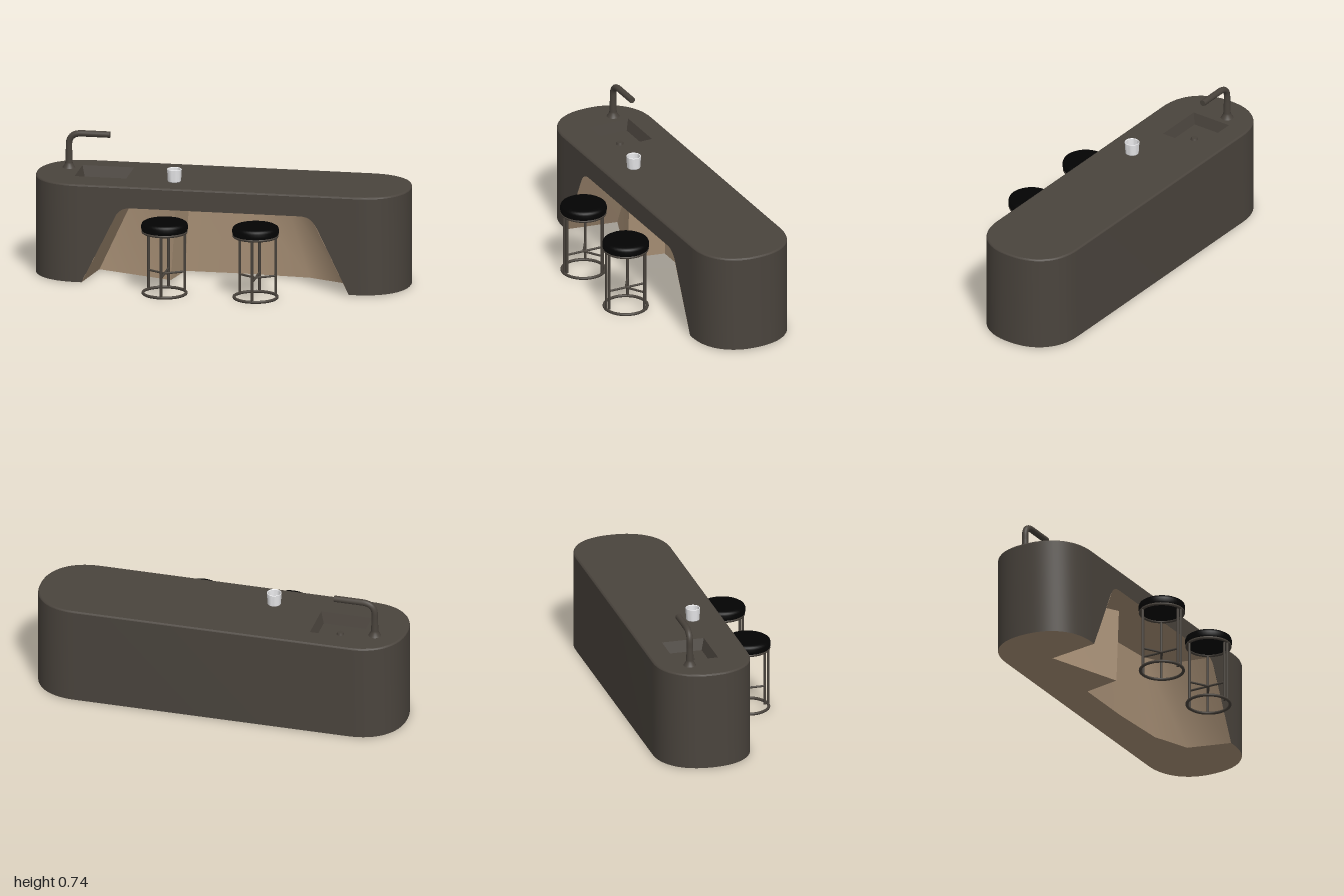
import * as THREE from 'three';
import { toCreasedNormals } from 'three/addons/utils/BufferGeometryUtils.js';

const material = (name, color, side = THREE.FrontSide) =>
  Object.assign(new THREE.MeshStandardMaterial({ color, side }), { name });

// Surface through rows of points, with sharp edges kept
function loft(rows, crease = 0.5) {
  const n = rows[0].length, index = [];
  for (let r = 0; r < rows.length - 1; r++) {
    for (let i = 0; i < n - 1; i++) {
      const a = r * n + i, b = a + n;
      index.push(a, a + 1, b, a + 1, b + 1, b);
    }
  }
  const g = new THREE.BufferGeometry();
  g.setAttribute('position', new THREE.Float32BufferAttribute(rows.flat(2), 3));
  g.setIndex(index);
  return toCreasedNormals(g, crease);
}

// Flat shape from [x, z] points, facing up or down
function slab(points, y, up, hole) {
  const toVec = ([x, z]) => new THREE.Vector2(x, up ? -z : z);
  const shape = new THREE.Shape(points.map(toVec));
  if (hole) shape.holes.push(new THREE.Path(hole.map(toVec)));
  return new THREE.ShapeGeometry(shape).rotateX(up ? -Math.PI / 2 : Math.PI / 2).translate(0, y, 0);
}

// Counter outline with slightly full ends, from right front, round the back, to left front
function stadium(inset) {
  const r = 0.26 - inset, pts = [];
  const full = (v) => Math.sign(v) * Math.abs(v) ** 0.89;
  for (const end of [1, -1]) {
    for (let i = 0; i <= 32; i++) {
      const a = end * Math.PI / 2 - Math.PI * i / 32;
      pts.push([end * 0.74 + r * full(Math.cos(a)), -0.13 + r * full(Math.sin(a))]);
    }
  }
  return pts;
}

const rect = (x0, x1, z0, z1) => [[x0, z0], [x1, z0], [x1, z1], [x0, z1]];
const atHeight = (pts, y) => pts.map(([x, z]) => [x, y, z]);
const closed = (pts) => [...pts, pts[0]];

export function createModel() {
  const model = new THREE.Group();
  const stone = material('dark stone', 0x4a443d, THREE.DoubleSide);
  const timber = material('tan lining', 0xa78f75, THREE.DoubleSide);
  const black = material('black cushion', 0x030303);
  const metal = material('bronze metal', 0x48423b);
  const glaze = material('pale cup', 0xf0f0f2, THREE.DoubleSide);

  const add = (parent, name, geometry, mat) => {
    const mesh = new THREE.Mesh(geometry, mat);
    mesh.name = name;
    parent.add(mesh);
    return mesh;
  };
  const group = (name) => {
    const g = new THREE.Group();
    g.name = name;
    model.add(g);
    return g;
  };

  // Counter shell
  const counter = group('counter');
  const base = 0.005, rim = 0.527, top = 0.535;
  const outline = stadium(0);
  add(counter, 'outerWall', loft([atHeight(outline, base), atHeight(outline, rim)]), stone);
  const edge = [[0, rim], [0.0025, 0.5325], [0.008, top]];
  add(counter, 'topEdge', loft(edge.map(([d, y]) => atHeight(closed(stadium(d)), y)), 0.9), stone);

  // Front panel with the flared knee opening
  const front = new THREE.Shape();
  front.moveTo(-0.74, base);
  front.lineTo(-0.715, base);
  front.lineTo(-0.56, 0.325);
  front.bezierCurveTo(-0.53, 0.39, -0.51, 0.42, -0.45, 0.42);
  front.lineTo(0.45, 0.42);
  front.bezierCurveTo(0.51, 0.42, 0.53, 0.39, 0.56, 0.325);
  front.lineTo(0.715, base);
  front.lineTo(0.74, base);
  front.lineTo(0.74, rim);
  front.lineTo(-0.74, rim);
  add(counter, 'frontPanel', new THREE.ShapeGeometry(front).translate(0, 0, 0.13), stone);

  // Worktop with sunken sink
  const sinkRim = rect(-0.783, -0.507, -0.272, -0.043);
  const sinkFloor = rect(-0.768, -0.525, -0.256, -0.06);
  const sinkY = 0.475;
  add(counter, 'worktop', slab(stadium(0.008), top, true, sinkRim), stone);
  add(counter, 'sinkWalls', loft([atHeight(closed(sinkRim), top), atHeight(closed(sinkFloor), sinkY)]), stone);
  add(counter, 'sinkFloor', slab(sinkFloor, sinkY, true), stone);
  add(counter, 'sinkDrain', new THREE.CylinderGeometry(0.016, 0.02, 0.012, 20).translate(-0.64, sinkY + 0.006, -0.15), metal);

  // Folded lining of the knee recess, and the underside
  const floorLine = [[-0.715, 0.13], [-0.67, -0.15], [-0.26, 0.0], [-0.22, -0.2],
    [0.12, -0.2], [0.45, -0.18], [0.65, -0.1], [0.715, 0.13]];
  const ceilingLine = floorLine.map(([x, z]) => [Math.abs(x) > 0.4 ? x * 0.714 : x * 0.9, z]);
  add(counter, 'recessWalls', loft([atHeight(floorLine, base), atHeight(ceilingLine, 0.42)], 1.1), timber);
  add(counter, 'recessCeiling', slab(ceilingLine, 0.42, false), timber);
  add(counter, 'underside', slab([...outline, ...floorLine], base, false), timber);

  // Tap
  const tap = group('tap');
  tap.position.set(-0.845, top, -0.215);
  const path = new THREE.CurvePath();
  const v = (x, y) => new THREE.Vector3(x, y, 0);
  path.add(new THREE.LineCurve3(v(0, 0), v(0, 0.125)));
  path.add(new THREE.QuadraticBezierCurve3(v(0, 0.125), v(0, 0.188), v(0.07, 0.188)));
  path.add(new THREE.LineCurve3(v(0.07, 0.188), v(0.22, 0.188)));
  add(tap, 'tapPipe', new THREE.TubeGeometry(path, 48, 0.017, 14), metal);
  add(tap, 'tapTip', new THREE.CircleGeometry(0.017, 14).rotateY(Math.PI / 2).translate(0.22, 0.188, 0), metal);
  const flare = [[0.034, 0], [0.03, 0.006], [0.022, 0.02], [0.0195, 0.03], [0.017, 0.1]];
  add(tap, 'tapBase', new THREE.LatheGeometry(flare.map((p) => new THREE.Vector2(...p)), 24), metal);

  // Cup
  const cupProfile = [[0, 0], [0.031, 0], [0.035, 0.004], [0.039, 0.067], [0.037, 0.069], [0.034, 0.066], [0.03, 0.008], [0, 0.008]];
  const cup = new THREE.LatheGeometry(cupProfile.map((p) => new THREE.Vector2(...p)), 28);
  add(model, 'cup', toCreasedNormals(cup, 0.6), glaze).position.set(-0.247, top, -0.03);

  // Stools: cushion, two rings, posts and footrest spokes
  const cushion = [[0, 0.343], [0.112, 0.343], [0.12, 0.348], [0.123, 0.358], [0.123, 0.376], [0.119, 0.387], [0.108, 0.394], [0.09, 0.396], [0, 0.396]];
  for (const [name, x] of [['rightStool', -0.245], ['leftStool', 0.242]]) {
    const stool = group(name);
    stool.position.set(x, 0, 0.268);
    add(stool, 'seat', new THREE.LatheGeometry(cushion.map((p) => new THREE.Vector2(...p)), 40), black);
    for (const [part, y] of [['floorRing', 0.008], ['seatRing', 0.342]]) {
      add(stool, part, new THREE.TorusGeometry(0.114, 0.008, 10, 40).rotateX(Math.PI / 2).translate(0, y, 0), metal);
    }
    for (const [angle, radius] of [[0, 0.114], [0, 0.097], [122, 0.114], [180, 0.114], [238, 0.114]]) {
      const a = angle * Math.PI / 180;
      const post = new THREE.CylinderGeometry(0.007, 0.007, 0.335, 10).translate(0, 0.175, radius);
      add(stool, 'post', post.rotateY(a), metal);
    }
    for (const [angle, length] of [[0, 0.097], [122, 0.114], [180, 0.114], [238, 0.114]]) {
      const spoke = new THREE.CylinderGeometry(0.006, 0.006, length, 8).rotateX(Math.PI / 2).translate(0, 0.112, length / 2);
      add(stool, 'footrestSpoke', spoke.rotateY(angle * Math.PI / 180), metal);
    }
  }
  return model;
}
